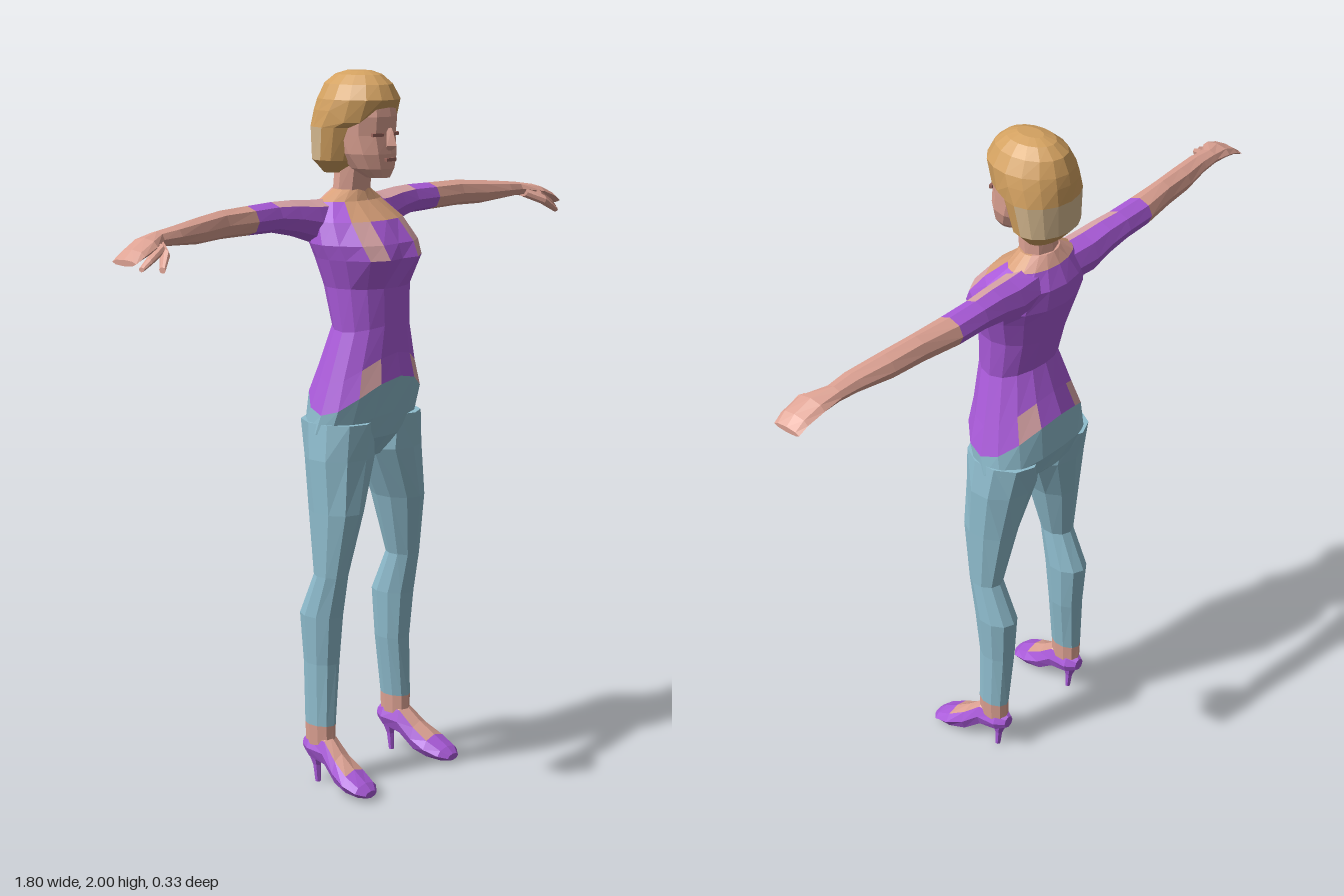
import * as THREE from 'three';

const material = (name, color) => {
  const m = new THREE.MeshStandardMaterial({ color });
  m.name = name;
  return m;
};
const SKIN = 0, TAN = 1, TOP = 2, JEANS = 3, HAIR = 4, PALE = 5, DARK = 6, PINK = 7;
const mats = [
  material('skin', 0xdda293), material('warm skin', 0xd8a079), material('purple', 0xab5bdb),
  material('blue trousers', 0x8fbdce), material('blond hair', 0xd3a160), material('pale hair', 0xd9bc92),
  material('lips and eyes', 0x9a655c), material('pink skin', 0xdba6a9),
];

// Faceted closed loft through rings of points; pick(i, j) gives the colour of ring i, side j
function loft(name, rings, pick) {
  const buckets = mats.map(() => []);
  const n = rings[0].length, last = rings.length - 1;
  const tri = (m, a, b, c) => buckets[m].push([a, b, c]);
  for (let i = 0; i < last; i++) for (let j = 0; j < n; j++) {
    const k = (j + 1) % n, m = pick(i, j), a = rings[i], b = rings[i + 1];
    tri(m, a[j], a[k], b[k]);
    tri(m, a[j], b[k], b[j]);
  }
  for (const [r, i, flip] of [[rings[0], 0, true], [rings[last], last - 1, false]]) {
    const mid = r.reduce((s, p) => s.add(p), new THREE.Vector3()).divideScalar(n);
    for (let j = 0; j < n; j++) {
      const k = (j + 1) % n;
      tri(pick(i, j), mid, flip ? r[k] : r[j], flip ? r[j] : r[k]);
    }
  }
  // Turn faces outward according to the enclosed volume
  let volume = 0;
  const cross = new THREE.Vector3();
  buckets.flat().forEach(([a, b, c]) => { volume += a.dot(cross.crossVectors(b, c)); });
  const pos = [], geo = new THREE.BufferGeometry();
  buckets.forEach((tris, m) => {
    if (!tris.length) return;
    geo.addGroup(pos.length / 3, tris.length * 3, m);
    for (const [a, b, c] of tris)
      for (const p of volume < 0 ? [a, c, b] : [a, b, c]) pos.push(p.x, p.y, p.z);
  });
  geo.setAttribute('position', new THREE.Float32BufferAttribute(pos, 3));
  geo.computeVertexNormals();
  const mesh = new THREE.Mesh(geo, mats);
  mesh.name = name;
  return mesh;
}

const circle = (n, f) => Array.from({ length: n }, (_, j) => {
  const a = j / n * Math.PI * 2;
  return new THREE.Vector3(...f(Math.sin(a), Math.cos(a)));
});
// Level ring; side 0 starts at the front, drop lowers its flanks
const level = (n, y, cx, hx, zf, zb, drop = 0, side = 1) => circle(n, (s, c) =>
  [side * (cx + s * hx), y - drop * s * s, (zf + zb) / 2 + c * (zf - zb) / 2]);

function box(name, m, size, p, turn = 0) {
  const mesh = new THREE.Mesh(new THREE.BoxGeometry(...size), mats[m]);
  mesh.position.set(...p);
  mesh.rotation.y = turn;
  mesh.name = name;
  return mesh;
}

function makeTorso() {
  // y, drop, half width, front z, back z
  const rows = [
    [0.94, 0, 0.05, 0.03, -0.07], [1.0, 0, 0.17, 0.07, -0.125], [1.07, 0.05, 0.192, 0.09, -0.148],
    [1.175, 0.1, 0.187, 0.117, -0.142], [1.24, 0.08, 0.162, 0.106, -0.115], [1.32, 0.02, 0.122, 0.105, -0.086],
    [1.42, 0, 0.13, 0.106, -0.115], [1.5, 0, 0.155, 0.122, -0.14], [1.54, 0, 0.168, 0.108, -0.152],
    [1.6, 0, 0.155, 0.065, -0.155], [1.65, 0, 0.11, 0.0, -0.13], [1.68, 0, 0.06, -0.015, -0.11],
  ];
  const rings = rows.map(([y, d, hw, zf, zb]) => level(16, y, 0, hw, zf, zb, d));
  // Bust
  for (const j of [1, 2, 14, 15]) { rings[7][j].z += 0.017; rings[8][j].z += 0.01; }
  return loft('torso', rings, (i, j) => {
    const k = Math.min(j, 15 - j);
    if (i < 3) return JEANS;
    if (i === 3 && (k === 1 || k === 6)) return PINK;
    if ((i === 7 || i === 8) && k === 1) return PINK;
    if (i === 9 && k < 2) return TAN;
    if (i === 10) return k < 5 ? TAN : SKIN;
    return TOP;
  });
}

function makeArm(s) {
  const arm = new THREE.Group();
  arm.name = s > 0 ? 'leftArm' : 'rightArm';
  // x, centre y, half height, centre z, half depth
  const rows = [
    [0.07, 1.6, 0.055, -0.08, 0.055], [0.15, 1.6, 0.057, -0.085, 0.055], [0.22, 1.614, 0.048, -0.09, 0.048],
    [0.29, 1.622, 0.041, -0.095, 0.044], [0.385, 1.622, 0.039, -0.093, 0.044], [0.5, 1.623, 0.037, -0.083, 0.036],
    [0.6, 1.618, 0.034, -0.07, 0.037], [0.7, 1.617, 0.025, -0.055, 0.033], [0.76, 1.615, 0.02, -0.053, 0.028],
    [0.82, 1.606, 0.019, -0.035, 0.046], [0.87, 1.588, 0.014, -0.028, 0.045], [0.898, 1.572, 0.008, -0.028, 0.042],
  ];
  const along = ([x, y, ry, z, rz]) => circle(8, (a, c) => [s * x, y + c * ry, z + a * rz]);
  arm.add(loft('armAndHand', rows.map(along), (i, j) => (i > 3 ? SKIN : i < 3 && j === 0 ? PINK : TOP)));
  arm.add(loft('thumb', [[0.77, 1.605, 0.014, -0.035, 0.02], [0.8, 1.585, 0.015, 0.015, 0.018],
    [0.835, 1.553, 0.008, 0.04, 0.011]].map(along), () => SKIN));
  arm.add(loft('finger', [[0.8, 1.598, 0.014, 0.0, 0.016], [0.85, 1.572, 0.01, 0.008, 0.013],
    [0.875, 1.556, 0.006, 0.008, 0.009]].map(along), () => SKIN));
  return arm;
}

function makeLeg(s) {
  const leg = new THREE.Group();
  leg.name = s > 0 ? 'leftLeg' : 'rightLeg';
  // y, centre x, half width, front z, back z
  const rows = [
    [1.05, 0.105, 0.086, 0.085, -0.135], [0.95, 0.104, 0.1, 0.08, -0.113], [0.8, 0.135, 0.067, 0.08, -0.086],
    [0.62, 0.158, 0.044, 0.048, -0.054], [0.5, 0.158, 0.051, 0.028, -0.106], [0.36, 0.157, 0.044, 0.014, -0.095],
    [0.18, 0.168, 0.034, 0.013, -0.085], [0.1, 0.167, 0.031, 0.012, -0.083],
  ];
  leg.add(loft('trouserLegAndAnkle', rows.map(([y, cx, hx, zf, zb]) => level(10, y, cx, hx, zf, zb, 0, s)),
    (i) => (i < 6 ? JEANS : SKIN)));
  // Foot in an open shoe: z, centre x, half width, bottom, top
  const foot = [
    [-0.09, 0.166, 0.018, 0.09, 0.13], [-0.06, 0.166, 0.036, 0.07, 0.145], [0, 0.168, 0.037, 0.055, 0.152],
    [0.05, 0.176, 0.044, 0.016, 0.108], [0.1, 0.182, 0.053, 0.008, 0.075], [0.145, 0.186, 0.046, 0.008, 0.048],
    [0.166, 0.187, 0.024, 0.01, 0.03],
  ];
  leg.add(loft('footAndShoe', foot.map(([z, cx, hx, yb, yt]) =>
    circle(8, (a, c) => [s * (cx + a * hx), (yb + yt) / 2 + c * (yt - yb) / 2, z])),
  (i, j) => (i > 0 && i < 4 && (j === 0 || j === 7) ? SKIN : TOP)));
  leg.add(loft('shoeHeel', [level(6, 0, 0.166, 0.008, -0.04, -0.056, 0, s),
    level(6, 0.05, 0.166, 0.011, -0.04, -0.064, 0, s), level(6, 0.1, 0.166, 0.025, -0.03, -0.086, 0, s)], () => TOP));
  return leg;
}

function makeHead() {
  const head = new THREE.Group();
  head.name = 'head';
  const rings = (n, rows) => rows.map(([y, hw, zf, zb]) => level(n, y, 0, hw, zf, zb));
  head.add(loft('neck', rings(8, [[1.62, 0.075, 0.02, -0.12], [1.67, 0.056, -0.012, -0.108], [1.77, 0.052, 0.0, -0.1]]), () => SKIN));
  head.add(loft('face', rings(12, [[1.715, 0.032, 0.068, 0.0], [1.74, 0.058, 0.077, -0.05],
    [1.78, 0.077, 0.08, -0.09], [1.83, 0.084, 0.075, -0.12], [1.88, 0.086, 0.08, -0.12], [1.93, 0.075, 0.07, -0.11]]), () => SKIN));
  head.add(loft('nose', rings(4, [[1.79, 0.012, 0.084, 0.06], [1.803, 0.017, 0.1, 0.06], [1.85, 0.008, 0.083, 0.06]]), () => SKIN));
  head.add(box('mouth', DARK, [0.04, 0.009, 0.009], [0, 1.765, 0.078]));
  for (const s of [-1, 1]) head.add(box('eye', DARK, [0.036, 0.009, 0.009], [s * 0.037, 1.832, 0.064], s * 0.3));

  // Bobbed hair: the face stands in front of the lower rings, the fringe overhangs it
  const hair = rings(16, [
    [1.725, 0.07, -0.045, -0.13], [1.76, 0.103, -0.005, -0.163], [1.85, 0.113, 0.025, -0.166],
    [1.895, 0.109, 0.068, -0.162], [1.925, 0.103, 0.09, -0.156], [1.965, 0.08, 0.07, -0.138],
    [1.99, 0.052, 0.04, -0.105], [2.0, 0.024, 0.01, -0.07],
  ]);
  for (const j of [2, 3, 13, 14]) hair[3][j].y -= 0.03;
  head.add(loft('hair', hair, (i, j) => (i === 1 && j > 3 && j < 12 ? PALE : HAIR)));
  return head;
}

export function createModel() {
  const model = new THREE.Group();
  model.name = 'woman';
  model.add(makeTorso(), makeHead());
  for (const s of [1, -1]) model.add(makeArm(s), makeLeg(s));
  return model;
}
